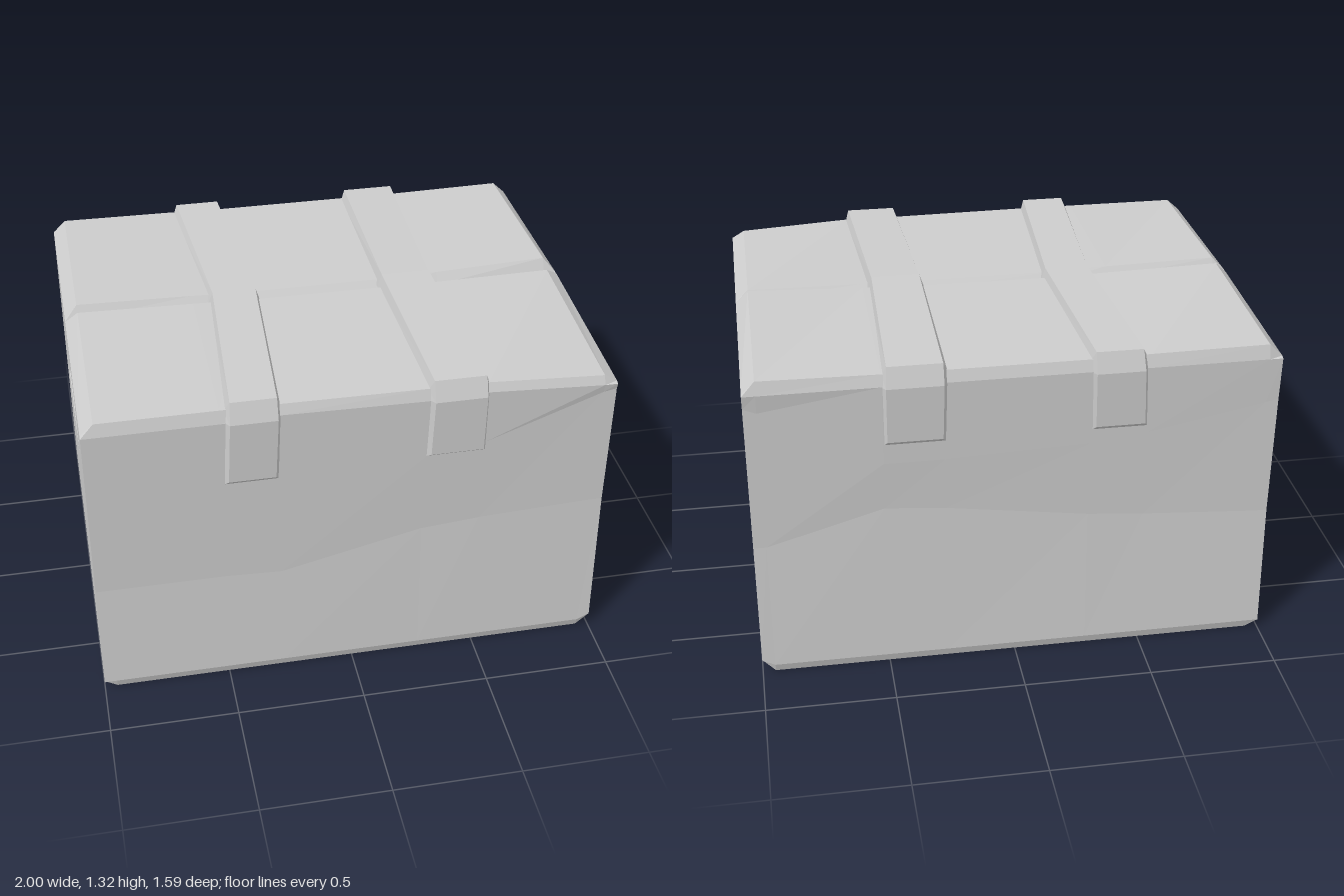
import * as THREE from 'three';

const cardboard = new THREE.MeshStandardMaterial({ color: 0xcccccc });
cardboard.name = 'plain grey';

// Flat-shaded mesh from a list of four-cornered faces (counter-clockwise)
function quadMesh(name, quads) {
  const pos = [];
  for (const [a, b, c, d] of quads) pos.push(...a, ...b, ...c, ...a, ...c, ...d);
  const geo = new THREE.BufferGeometry();
  geo.setAttribute('position', new THREE.Float32BufferAttribute(pos, 3));
  geo.computeVertexNormals();
  const mesh = new THREE.Mesh(geo, cardboard);
  mesh.name = name;
  return mesh;
}

// Joins neighbouring closed sections with quads
function loft(sections) {
  const quads = [];
  for (let i = 0; i < sections.length - 1; i++) {
    const a = sections[i], b = sections[i + 1], n = a.length;
    for (let j = 0; j < n; j++) {
      const k = (j + 1) % n;
      quads.push([a[j], b[j], b[k], a[k]]);
    }
  }
  return quads;
}

// Columns along x: bottom edge, bottom bevel, front dents, front bevel, flap heights, back bevel, back dents
const columns = [
  { x: -1, base: 0.03, mid: 0.08, f: [0.49, 0.95], fTop: [1.22, 1.225], fIn: 1.245, bIn: 1.245, bTop: [1.225, 1.23], b: [0.55, 1.05] },
  { x: -0.95, base: 0, mid: 0.03, f: [0.49, 0.95], fTop: [1.22, 1.27], fIn: 1.295, bIn: 1.295, bTop: [1.225, 1.28], b: [0.55, 1.04] },
  { x: -0.5, base: 0, mid: 0.03, f: [0.49, 0.95], fTop: [1.22, 1.27], fIn: 1.285, bIn: 1.285, bTop: [1.225, 1.275], b: [0.58, 0.95] },
  { x: -0.28, base: 0, mid: 0.02, f: [0.48, 0.92], fTop: [1.23, 1.27], fIn: 1.278, bIn: 1.278, bTop: [1.225, 1.27], b: [0.6, 0.92] },
  { x: 0.27, base: 0, mid: 0.02, f: [0.61, 0.96], fTop: [1.22, 1.265], fIn: 1.275, bIn: 1.278, bTop: [1.225, 1.27], b: [0.68, 0.9] },
  { x: 0.5, base: 0, mid: 0.03, f: [0.63, 1.0], fTop: [1.23, 1.265], fIn: 1.275, bIn: 1.285, bTop: [1.225, 1.27], b: [0.7, 0.9] },
  { x: 0.95, base: 0, mid: 0.035, f: [0.65, 1.17], fTop: [1.205, 1.24], fIn: 1.28, bIn: 1.303, bTop: [1.225, 1.277], b: [0.57, 1.15] },
  { x: 1, base: 0.055, mid: 0.1, f: [0.65, 1.18], fTop: [1.205, 1.21], fIn: 1.245, bIn: 1.245, bTop: [1.225, 1.23], b: [0.57, 1.17] },
];

function bodySection(c) {
  const end = Math.abs(c.x) === 1;
  const low = end ? c.base + 0.005 : 0.035;
  const gap = end ? 0.008 : 0.03;
  return [
    [c.base, 0.758], [low, 0.77], [c.f[0], 0.752], [c.f[1], 0.763],
    [c.fTop[0], 0.77], [c.fTop[1], 0.755], [c.fIn, gap], [1.243, 0],
    [c.bIn, -gap], [c.bTop[1], -0.76], [c.bTop[0], -0.775],
    [c.b[1], -0.765], [c.b[0], -0.752], [low, -0.77], [c.base, -0.758], [c.mid, 0],
  ].map(([y, z]) => [c.x, y, z]);
}

// Hand hole outlines as [z, y], clockwise from the top front corner
const holeOuter = [[0.3, 1.075], [0, 1.075], [-0.28, 1.075], [-0.28, 0.83], [0, 0.845], [0.285, 0.825]];
const holeInner = [[0.265, 1.035], [0, 1.045], [-0.255, 1.025], [-0.26, 0.855], [0, 0.858], [0.265, 0.855]];

// Flat end wall with the hand hole cut out
function endWall(section, side, name) {
  const toShape = ([z, y]) => new THREE.Vector2(-side * z, y);
  const shape = new THREE.Shape(section.map(([, y, z]) => toShape([z, y])));
  shape.holes.push(new THREE.Path(holeOuter.map(toShape)));
  const geo = new THREE.ShapeGeometry(shape);
  geo.rotateY(side * Math.PI / 2);
  geo.translate(side, 0, 0);
  const mesh = new THREE.Mesh(geo, cardboard);
  mesh.name = name;
  return mesh;
}

// Sunken grip behind the hole
function handRecess(side, name) {
  const outer = holeOuter.map(([z, y]) => [1, y, z]);
  const inner = holeInner.map(([z, y]) => [0.955, y, z]);
  const quads = loft([outer, inner]);
  quads.push([inner[0], inner[5], inner[4], inner[1]], [inner[1], inner[4], inner[3], inner[2]]);
  const mesh = quadMesh(name, quads);
  mesh.scale.x = side;
  return mesh;
}

// Strap running over the lid: each station is [left, right, inner y, inner z, outer y, outer z]
function strap(name, stations) {
  const sections = stations.map(([l, r, iy, iz, oy, oz]) => [
    [l - 0.01, iy, iz], [l + 0.008, oy, oz], [r - 0.015, oy, oz], [r, iy, iz],
  ]);
  const first = sections[0], last = sections[sections.length - 1];
  return quadMesh(name, [...loft(sections).map((q) => q.reverse()),
    [first[0], first[3], first[2], first[1]], [last[0], last[1], last[2], last[3]]]);
}

export function createModel() {
  const model = new THREE.Group();
  model.name = 'cardboardBox';

  const sections = columns.map(bodySection);
  model.add(quadMesh('boxBody', loft(sections)));
  model.add(endWall(sections[sections.length - 1], 1, 'leftEndWall'));
  model.add(endWall(sections[0], -1, 'rightEndWall'));
  model.add(handRecess(1, 'leftHandRecess'), handRecess(-1, 'rightHandRecess'));

  model.add(strap('rightStrap', [
    [-0.485, -0.285, 0.935, 0.755, 0.965, 0.785],
    [-0.475, -0.275, 1.22, 0.76, 1.225, 0.795],
    [-0.47, -0.275, 1.262, 0.745, 1.305, 0.765],
    [-0.425, -0.23, 1.262, 0, 1.308, 0],
    [-0.475, -0.275, 1.262, -0.75, 1.303, -0.77],
    [-0.48, -0.275, 1.22, -0.765, 1.225, -0.798],
    [-0.49, -0.28, 0.97, -0.755, 1.0, -0.787],
  ]));
  model.add(strap('leftStrap', [
    [0.28, 0.505, 0.96, 0.755, 0.985, 0.785],
    [0.285, 0.505, 1.22, 0.76, 1.225, 0.795],
    [0.285, 0.505, 1.255, 0.745, 1.303, 0.765],
    [0.26, 0.475, 1.262, 0, 1.315, 0],
    [0.265, 0.495, 1.262, -0.75, 1.303, -0.77],
    [0.265, 0.5, 1.22, -0.765, 1.225, -0.798],
    [0.27, 0.5, 0.97, -0.755, 1.0, -0.787],
  ]));
  return model;
}
